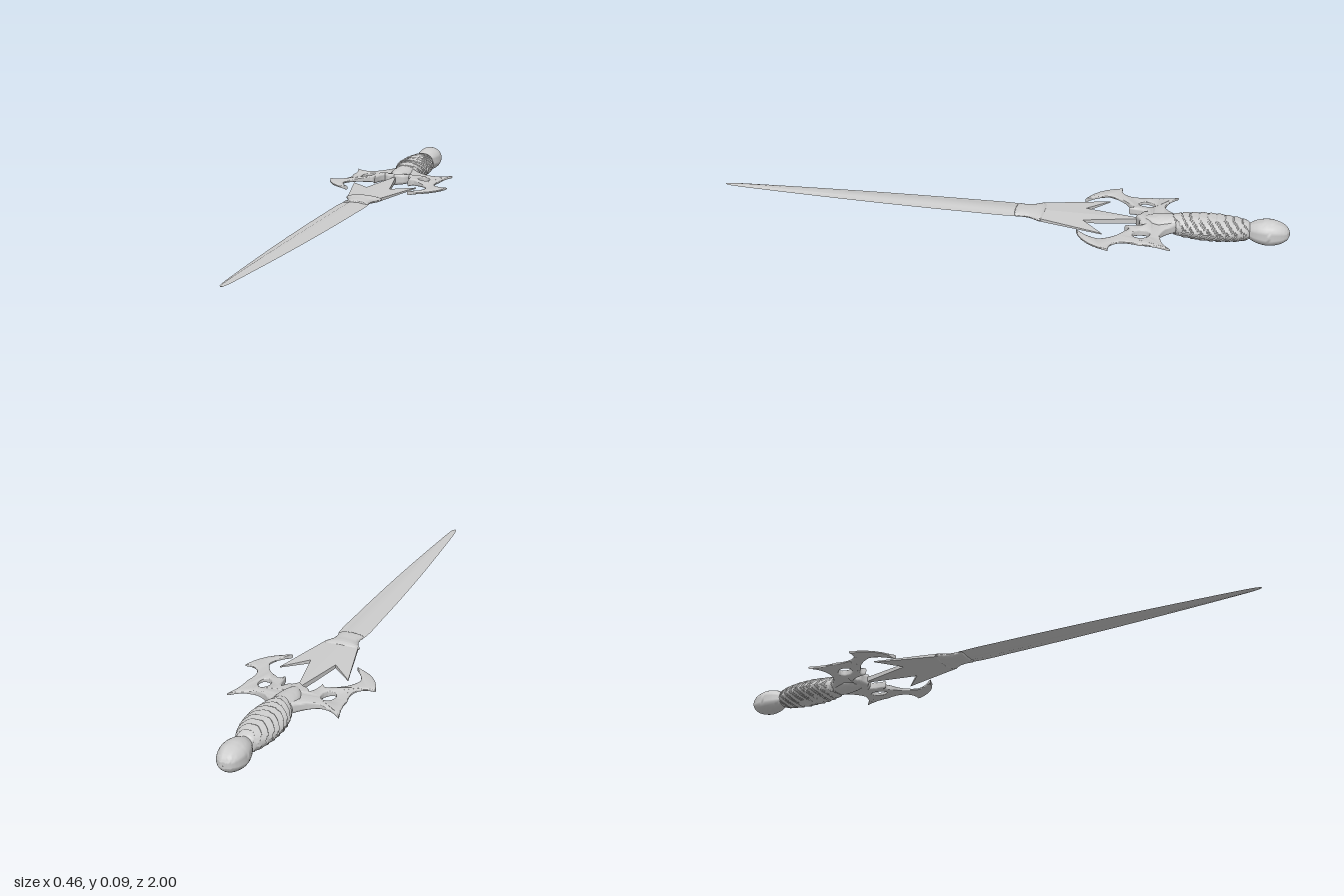
import * as THREE from 'three';
import { toCreasedNormals } from 'three/addons/utils/BufferGeometryUtils.js';

const MID = 0.045; // height of the flat plane of the dagger
const material = new THREE.MeshStandardMaterial({ color: 0xcccccc, side: THREE.DoubleSide });

function part(name, geometry, crease = 0.6) {
  const mesh = new THREE.Mesh(toCreasedNormals(geometry, crease), material);
  mesh.name = name;
  mesh.position.y = MID;
  return mesh;
}

// Rings along z; stations are [z, half width, half height], section gives unit outline points.
function loft(stations, section, sides, rings, swell = () => 1) {
  const curve = new THREE.CatmullRomCurve3(stations.map(([z, w, h]) => new THREE.Vector3(w, h, z)));
  const pos = [], index = [];
  for (let i = 0; i <= rings; i++) {
    const p = curve.getPoint(i / rings);
    for (let j = 0; j < sides; j++) {
      const a = (j / sides) * Math.PI * 2;
      const [x, y] = section(a, j);
      const s = swell(p.z, a);
      pos.push(x * Math.max(p.x, 0) * s, y * Math.max(p.y, 0) * s, p.z);
    }
  }
  for (let i = 0; i < rings; i++) {
    for (let j = 0; j < sides; j++) {
      const a = i * sides + j, b = i * sides + (j + 1) % sides;
      index.push(a, b, a + sides, b, b + sides, a + sides);
    }
  }
  const g = new THREE.BufferGeometry();
  g.setAttribute('position', new THREE.Float32BufferAttribute(pos, 3));
  g.setIndex(index);
  return g;
}

const oval = (a) => [Math.cos(a), Math.sin(a)];

// Flat plate in the xz plane whose half thickness follows a rule
function plate(shape, options, halfThickness) {
  const g = new THREE.ExtrudeGeometry(shape, options);
  g.rotateX(Math.PI / 2);
  g.computeBoundingBox();
  const { min, max } = g.boundingBox;
  const p = g.attributes.position;
  for (let i = 0; i < p.count; i++) {
    const unit = (2 * (p.getY(i) - min.y)) / (max.y - min.y) - 1;
    p.setY(i, unit * halfThickness(Math.abs(p.getX(i)), p.getZ(i)));
  }
  return g;
}

function guardShape() {
  const half = new THREE.Path();
  half.moveTo(0, -0.63);
  half.lineTo(0.03, -0.625);
  half.quadraticCurveTo(0.07, -0.575, 0.11, -0.57); // upper edge and horn
  half.quadraticCurveTo(0.16, -0.575, 0.19, -0.61);
  half.quadraticCurveTo(0.168, -0.56, 0.172, -0.51);
  half.quadraticCurveTo(0.155, -0.455, 0.18, -0.425);
  half.quadraticCurveTo(0.2, -0.405, 0.228, -0.41); // hooked blade at the end
  half.quadraticCurveTo(0.2, -0.32, 0.12, -0.295);
  half.quadraticCurveTo(0.16, -0.335, 0.165, -0.375);
  half.quadraticCurveTo(0.145, -0.43, 0.1, -0.455);
  half.quadraticCurveTo(0.08, -0.48, 0.067, -0.455); // small inner fang
  half.quadraticCurveTo(0.065, -0.5, 0.048, -0.52);
  half.quadraticCurveTo(0.035, -0.495, 0.02, -0.5);
  half.lineTo(0, -0.485);
  const right = half.getPoints(6);
  const left = right.slice(1, -1).reverse().map((p) => new THREE.Vector2(-p.x, p.y));
  const shape = new THREE.Shape([...right, ...left]);
  for (const s of [1, -1]) {
    const hole = new THREE.Path();
    hole.absellipse(s * 0.112, -0.51, 0.024, 0.032, 0, Math.PI * 2, false, -s * 0.25);
    shape.holes.push(new THREE.Path(hole.getPoints(18).slice(0, -1)));
  }
  return shape;
}

export function createModel() {
  const dagger = new THREE.Group();
  dagger.name = 'dagger';

  // Egg-shaped pommel
  dagger.add(part('pommel', loft([
    [-1, 0.001, 0.001], [-0.992, 0.021, 0.02], [-0.97, 0.038, 0.036], [-0.93, 0.048, 0.045],
    [-0.89, 0.04, 0.039], [-0.862, 0.025, 0.026], [-0.845, 0.02, 0.02],
  ], oval, 28, 28), 1.2));

  // Grip with chevron ribs
  const ribs = (z, a) => {
    const phase = (z + 1 - 0.045 * Math.abs(Math.sin(a))) / 0.029;
    return 0.95 + 0.08 * (phase - Math.floor(phase));
  };
  dagger.add(part('grip', loft([
    [-0.872, 0.001, 0.001], [-0.865, 0.03, 0.028], [-0.84, 0.044, 0.037], [-0.79, 0.059, 0.041],
    [-0.73, 0.065, 0.042], [-0.67, 0.057, 0.041], [-0.62, 0.038, 0.037], [-0.6, 0.026, 0.026], [-0.59, 0.001, 0.001],
  ], oval, 40, 90, ribs), 0.5));

  // Pierced guard, thick at the middle and thin at the hooks
  dagger.add(part('guard', plate(guardShape(), {
    depth: 0.4, bevelThickness: 0.3, bevelSize: 0.007, bevelOffset: -0.004, bevelSegments: 3, curveSegments: 8,
  }, (x) => 0.005 + 0.017 * Math.max(0, 1 - x / 0.15)), 0.9));
  dagger.add(part('guardHub', loft([
    [-0.64, 0.03, 0.032], [-0.6, 0.042, 0.031], [-0.56, 0.04, 0.028], [-0.52, 0.025, 0.022], [-0.48, 0.001, 0.002],
  ], oval, 24, 16), 1));

  // Three-pointed plate with a ridge on its centre line
  for (const s of [1, -1]) {
    const outline = [[0, -0.51], [0.045, -0.305], [0.122, -0.38], [0.06, -0.15], [0, -0.15]];
    const shape = new THREE.Shape(outline.map(([x, z]) => new THREE.Vector2(s * x, z)));
    dagger.add(part(s > 0 ? 'leftSpikePlate' : 'rightSpikePlate', plate(shape,
      { depth: 1, bevelEnabled: false }, (x) => 0.002 + 0.007 * Math.max(0, 1 - x / 0.12)), 0.1));
  }

  // Collar that holds the blade
  dagger.add(part('collar', loft([
    [-0.17, 0.001, 0.001], [-0.167, 0.06, 0.009], [-0.155, 0.067, 0.014], [-0.142, 0.058, 0.015],
    [-0.12, 0.047, 0.013], [-0.09, 0.043, 0.013], [-0.07, 0.046, 0.011], [-0.062, 0.001, 0.001],
  ], oval, 28, 32), 0.8));

  // Blade with hollow sides and a raised middle
  const quarter = [[1, 0], [0.75, 0.35], [0.5, 0.6], [0.38, 0.95], [0, 1]];
  const upper = [...quarter, ...quarter.slice(0, -1).reverse().map(([x, y]) => [-x, y])];
  const outline = [...upper, ...upper.slice(1, -1).reverse().map(([x, y]) => [x, -y])];
  dagger.add(part('blade', loft([
    [-0.1, 0.04, 0.006], [-0.06, 0.05, 0.006], [0.1, 0.05, 0.006], [0.3, 0.046, 0.0055], [0.5, 0.039, 0.005],
    [0.7, 0.029, 0.0045], [0.85, 0.02, 0.004], [0.96, 0.012, 0.003], [0.99, 0.007, 0.002], [1, 0.0005, 0.0005],
  ], (a, j) => outline[j], outline.length, 48), 0.35));

  return dagger;
}
